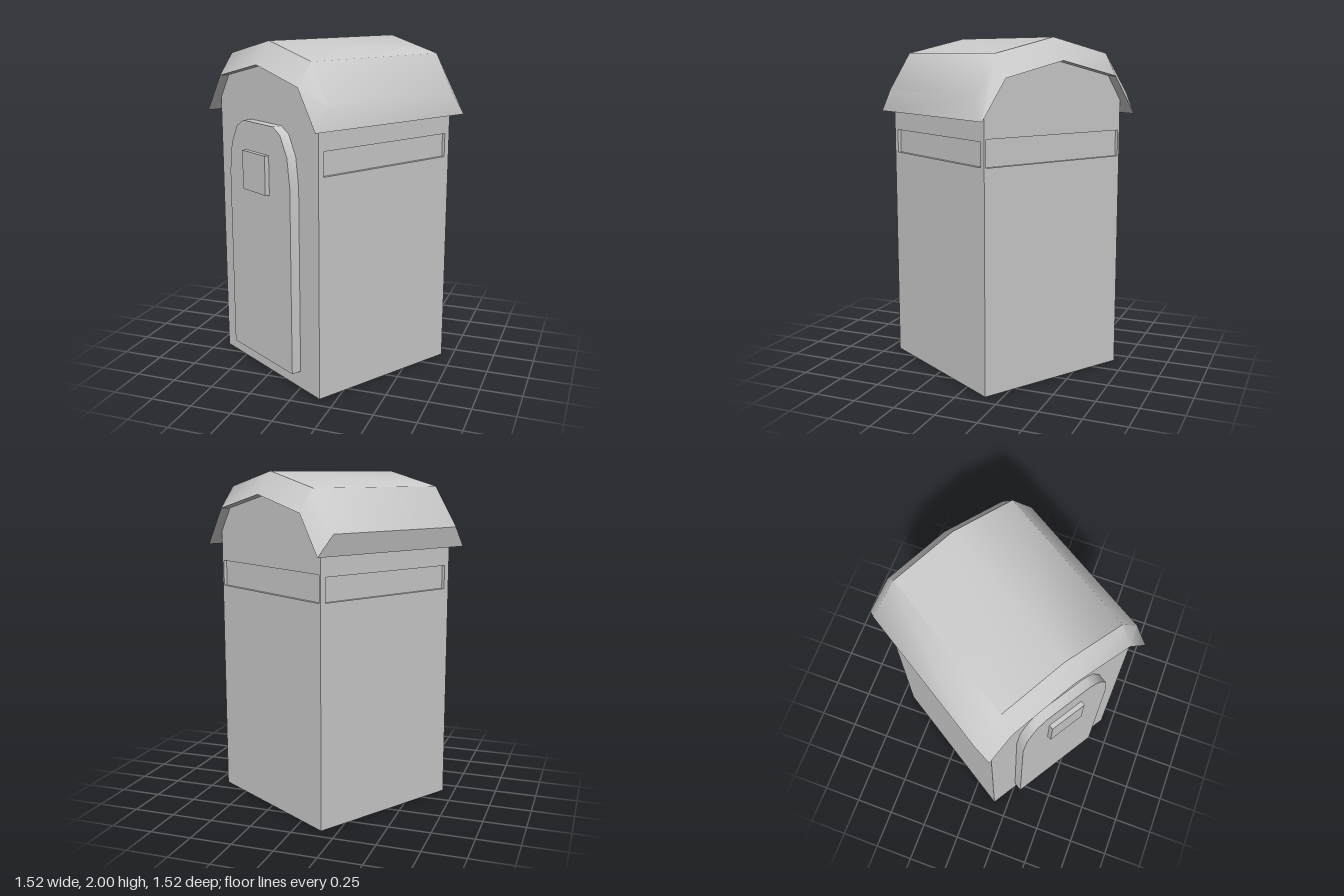
import * as THREE from 'three';
import { toCreasedNormals } from 'three/addons/utils/BufferGeometryUtils.js';

const HALF = 0.493;            // half width of the square booth
const material = new THREE.MeshStandardMaterial({ color: 0xcccccc, side: THREE.DoubleSide });

const mirrored = (half) => [...half, ...half.map(([x, y]) => [-x, y]).reverse()];
const rect = (x0, x1, y0, y1) => [[x0, y0], [x1, y0], [x1, y1], [x0, y1]];
const toVectors = (points) => points.map(([x, y]) => new THREE.Vector2(x, y));

function quadGeometry(quads, crease) {
  const pos = [];
  for (const [a, b, c, d] of quads) pos.push(...a, ...b, ...c, ...a, ...c, ...d);
  const g = new THREE.BufferGeometry();
  g.setAttribute('position', new THREE.Float32BufferAttribute(pos, 3));
  return toCreasedNormals(g, crease);
}

function addMesh(parent, name, geometry) {
  const mesh = new THREE.Mesh(geometry, material);
  mesh.name = name;
  parent.add(mesh);
  return mesh;
}

// Flat sheet with an optional cut-out
function addSheet(parent, name, outline, hole, z) {
  const shape = new THREE.Shape(toVectors(outline));
  if (hole) shape.holes.push(new THREE.Path(toVectors(hole)));
  addMesh(parent, name, new THREE.ShapeGeometry(shape)).position.z = z;
}

// Strip joining a cut-out at depth z0 to its raised or sunken panel at z1
function addRim(parent, name, outline, z0, z1) {
  const quads = outline.map(([x, y], i) => {
    const [x2, y2] = outline[(i + 1) % outline.length];
    return [[x, y, z0], [x2, y2, z0], [x2, y2, z1], [x, y, z1]];
  });
  addMesh(parent, name, quadGeometry(quads, 0.6));
}

function wall(name, angle) {
  const g = new THREE.Group();
  g.name = name;
  g.rotation.y = angle;
  return g;
}

function createRoof() {
  const roof = new THREE.Group();
  roof.name = 'roof';
  // Lower profile at the two ends, raised profile between the bevels
  const end = [[-0.548, 1.555], [-0.394, 1.78], [0, 1.87], [0.394, 1.78], [0.548, 1.555]];
  const crown = [[-0.571, 1.675], [-0.397, 1.91], [0, 2], [0.397, 1.91], [0.538, 1.687]];
  const ring = (profile, z) => profile.map(([x, y]) => [x, y, z]);
  const rings = [ring(end, 0.555), ring(crown, 0.465), ring(crown, -0.465), ring(end, -0.555)];
  const span = (near, far) => [0, 1, 2, 3].map((i) => [near[i], near[i + 1], far[i + 1], far[i]]);

  const outer = [0, 1, 2].flatMap((k) => span(rings[k], rings[k + 1]));
  const [r0, r1, r2, r3] = rings;
  outer.push([r3[0], r0[0], r1[0], r2[0]], [r0[4], r3[4], r2[4], r1[4]]); // eaves
  addMesh(roof, 'roofShell', quadGeometry(outer, 0.8));
  addMesh(roof, 'roofUnderside', quadGeometry(span(r3, r0), 0.3));
  return roof;
}

export function createModel() {
  const model = new THREE.Group();
  model.name = 'booth';
  const booth = new THREE.Group();
  booth.name = 'boothBody';
  booth.rotation.y = THREE.MathUtils.degToRad(-32);
  model.add(booth);

  const gable = [[-HALF, 0], [HALF, 0], [HALF, 1.634], [0.394, 1.78], [0, 1.87], [-0.394, 1.78], [-HALF, 1.634]];
  const sideOutline = rect(-HALF, HALF, 0, 1.634);

  // Front wall with raised arched door and small window box
  const door = mirrored([[0.31, 0.105], [0.31, 1.215], [0.285, 1.385], [0.222, 1.5], [0.153, 1.54]]);
  const hatch = rect(-0.126, 0.107, 1.14, 1.37);
  const front = wall('frontWall', 0);
  const doorZ = HALF + 0.06, hatchZ = 0.581;
  addSheet(front, 'frontWallSheet', gable, door, HALF);
  addRim(front, 'doorEdge', door, HALF, doorZ);
  addSheet(front, 'door', door, hatch, doorZ);
  addRim(front, 'doorWindowEdge', hatch, doorZ, hatchZ);
  addSheet(front, 'doorWindow', hatch, null, hatchZ);
  booth.add(front);

  // Back and side walls, each with a sunken window band
  const slot = rect(-0.458, 0.458, 1.3, 1.44);
  const others = [
    ['leftWall', Math.PI / 2, sideOutline, slot],
    ['backWall', Math.PI, gable, rect(-0.48, 0.48, 1.3, 1.455)],
    ['rightWall', -Math.PI / 2, sideOutline, slot],
  ];
  for (const [name, angle, outline, band] of others) {
    const g = wall(name, angle);
    addSheet(g, name + 'Sheet', outline, band, HALF);
    addRim(g, 'windowRecess', band, HALF, HALF - 0.02);
    addSheet(g, 'windowPane', band, null, HALF - 0.02);
    booth.add(g);
  }

  booth.add(createRoof());
  return model;
}
